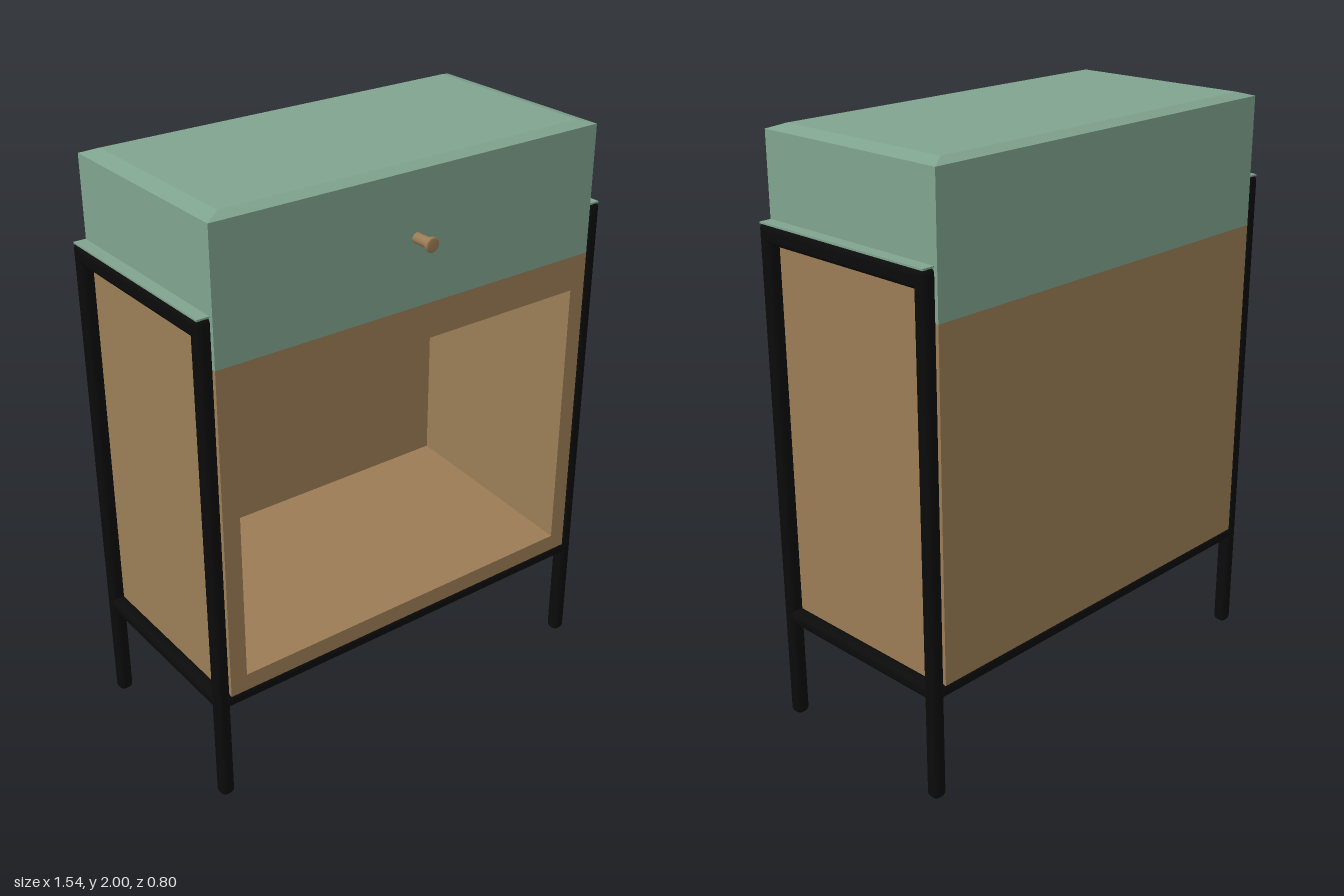
import * as THREE from 'three';
import { RoundedBoxGeometry } from 'three/addons/geometries/RoundedBoxGeometry.js';

export function createModel() {
  const model = new THREE.Group();
  model.name = 'cabinet';
  const mat = (name, color) => {
    const m = new THREE.MeshStandardMaterial({ color });
    m.name = name;
    return m;
  };
  const wood = mat('wood', 0x9b7d55);
  const green = mat('sage green', 0x80a48f);
  const black = mat('black metal', 0x0b0b0b);

  const add = (name, geometry, material, x = 0, y = 0, z = 0) => {
    const mesh = new THREE.Mesh(geometry, material);
    mesh.name = name;
    mesh.position.set(x, y, z);
    model.add(mesh);
    return mesh;
  };
  // box given by its extents on each axis
  const span = (name, material, x0, x1, y0, y1, z0, z1) =>
    add(name, new THREE.BoxGeometry(x1 - x0, y1 - y0, z1 - z0), material,
      (x0 + x1) / 2, (y0 + y1) / 2, (z0 + z1) / 2);
  const bar = (name, w, h, d, x, y, z) =>
    add(name, new RoundedBoxGeometry(w, h, d, 4, 0.02), black, x, y, z);

  const W = 0.72, BACK = -0.4, FRONT = 0.325, MID = (BACK + FRONT) / 2;

  // open compartment: rectangular ring pushed back to the rear panel
  const rect = (T, x, y0, y1) => {
    const s = new T();
    s.moveTo(-x, y0).lineTo(x, y0).lineTo(x, y1).lineTo(-x, y1).closePath();
    return s;
  };
  const ring = rect(THREE.Shape, W, 0.4, 1.55);
  ring.holes.push(rect(THREE.Path, 0.66, 0.46, 1.43));
  add('compartment', new THREE.ExtrudeGeometry(ring, { depth: FRONT + 0.385, bevelEnabled: false }),
    wood, 0, 0, -0.385);
  span('backPanel', wood, -W, W, 0.4, 1.55, BACK, -0.385);

  // compartment floor rising towards the back
  const wedge = new THREE.Shape();
  wedge.moveTo(-FRONT, 0.46).lineTo(0.385, 0.46).lineTo(0.385, 0.513).closePath();
  const floor = add('slopedFloor',
    new THREE.ExtrudeGeometry(wedge, { depth: 1.32, bevelEnabled: false }), wood, -0.66);
  floor.rotation.y = Math.PI / 2;

  // drawer block with a shallow sloped rim on top
  span('drawerBlock', green, -W, W, 1.55, 1.985, BACK, FRONT);
  const lid = new THREE.BoxGeometry(2 * W, 0.015, FRONT - BACK);
  const p = lid.attributes.position;
  for (let i = 0; i < p.count; i++) {
    if (p.getY(i) > 0) {
      p.setX(i, p.getX(i) * 0.925);
      p.setZ(i, p.getZ(i) * 0.9);
    }
  }
  lid.computeVertexNormals();
  add('lid', lid, green, 0, 1.9925, MID);

  // turned knob
  const profile = [[0, 0], [0.017, 0], [0.017, 0.05], [0.024, 0.066], [0.024, 0.073], [0.019, 0.076], [0, 0.076]]
    .map(([r, h]) => new THREE.Vector2(r, h));
  add('knob', new THREE.LatheGeometry(profile, 20), wood, -0.005, 1.775, FRONT).rotation.x = Math.PI / 2;

  // metal frame, mirrored left and right
  for (const s of [-1, 1]) {
    const x = s * 0.745;
    for (const z of [0.3, -0.375]) bar('leg', 0.05, 1.715, 0.05, x, 0.8575, z);
    bar('topSideRail', 0.05, 0.064, 0.72, x, 1.681, MID);
    bar('bottomSideRail', 0.05, 0.05, 0.72, x, 0.38, MID);
    add('railCap', new THREE.BoxGeometry(0.042, 0.006, 0.71), green, x, 1.713, MID);
    add('sidePanel', new THREE.BoxGeometry(0.008, 1.27, 0.68), wood, s * 0.721, 1.03, MID);
  }
  for (const z of [0.3, -0.375]) bar('bottomCrossRail', 1.5, 0.05, 0.05, 0, 0.38, z);

  return model;
}
